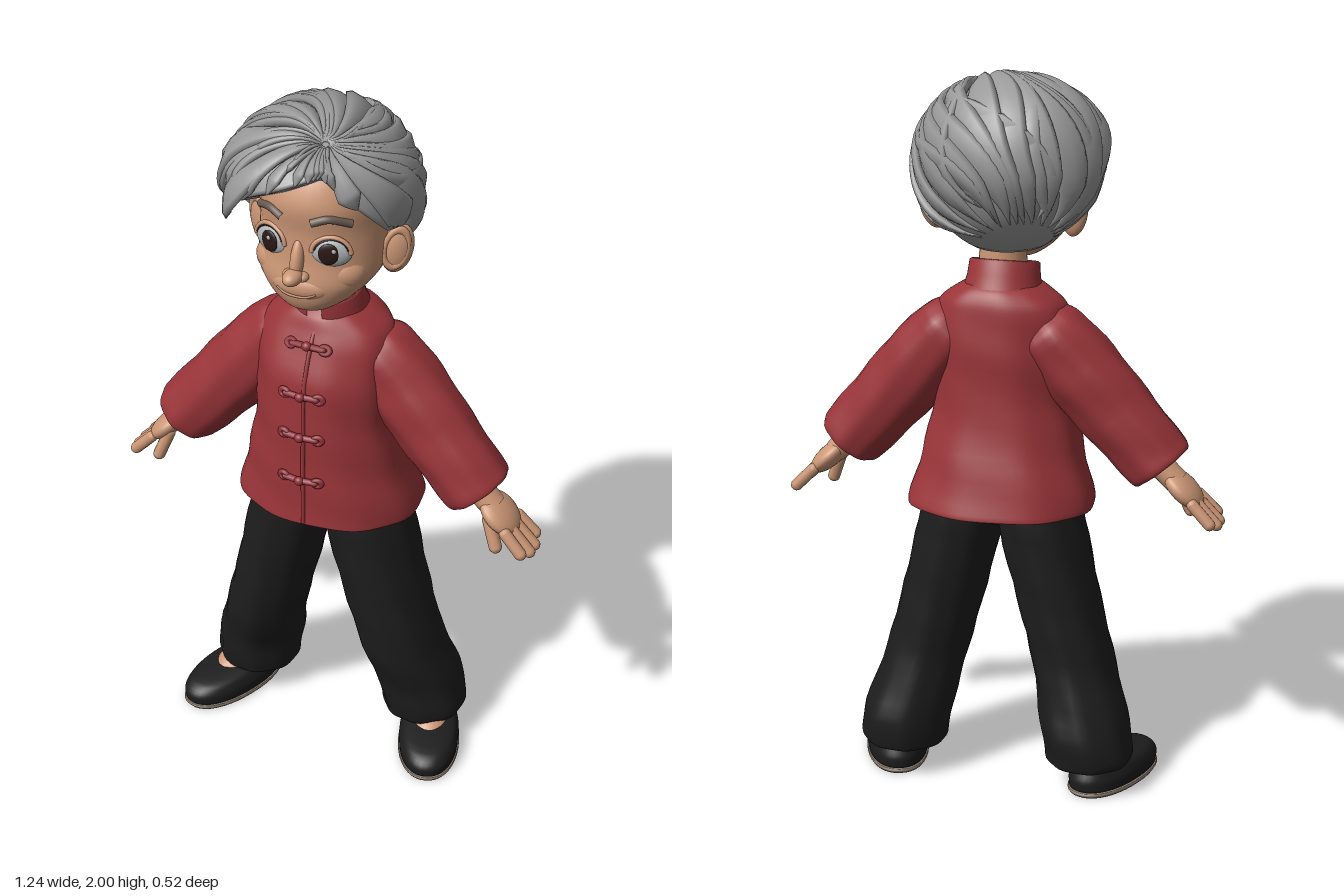
import * as THREE from 'three';

const mat = (name, color, side = THREE.FrontSide) => {
  const m = new THREE.MeshStandardMaterial({ color, side });
  m.name = name;
  return m;
};
const V = (x, y, z) => new THREE.Vector3(x, y, z);

// Closed skin over a stack of rings, capped at both ends
function skin(rings) {
  const n = rings[0].length, pos = [], idx = [];
  rings.forEach(r => r.forEach(p => pos.push(p.x, p.y, p.z)));
  for (let i = 0; i < rings.length - 1; i++) for (let j = 0; j < n; j++) {
    const a = i * n + j, b = i * n + (j + 1) % n;
    idx.push(a, a + n, b, b, a + n, b + n);
  }
  [0, rings.length - 1].forEach(i => {
    const c = rings[i].reduce((s, p) => s.add(p), V(0, 0, 0)).divideScalar(n);
    const k = pos.length / 3;
    pos.push(c.x, c.y, c.z);
    for (let j = 0; j < n; j++) {
      const a = i * n + j, b = i * n + (j + 1) % n;
      i === 0 ? idx.push(k, a, b) : idx.push(k, b, a);
    }
  });
  const g = new THREE.BufferGeometry();
  g.setAttribute('position', new THREE.Float32BufferAttribute(pos, 3));
  g.setIndex(idx);
  g.computeVertexNormals();
  return g;
}

// Horizontal sections [y, cx, cz, rx, rz], listed from top to bottom
function loft(secs, { n = 40, e = 2, fold = 0, sub = 4 } = {}) {
  const curve = f => new THREE.CatmullRomCurve3(secs.map(f), false, 'catmullrom', 0.4);
  const mid = curve(s => V(s[1], s[0], s[2])), rad = curve(s => V(s[3], s[4], 0));
  const rings = [], m = (secs.length - 1) * sub;
  const pw = v => Math.sign(v) * Math.abs(v) ** (2 / e);
  for (let i = 0; i <= m; i++) {
    const c = mid.getPoint(i / m), r = rad.getPoint(i / m), ring = [];
    for (let j = 0; j < n; j++) {
      const a = j / n * Math.PI * 2;
      const k = 1 + fold * Math.sin(5 * a + c.y * 23) * Math.sin(3 * a - c.y * 17);
      ring.push(V(c.x + r.x * k * pw(Math.sin(a)), c.y, c.z + r.y * k * pw(Math.cos(a))));
    }
    rings.push(ring);
  }
  return skin(rings);
}

// Hair surface: centre, radius by direction, and hairline by azimuth
const hairC = V(-0.015, 1.757, -0.008);
const hairline = [[-3.2, 2.75], [-1.9, 2.72], [-1.6, 1.85], [-1.2, 1.78], [-0.7, 1.48], [-0.3, 1.28], [0.1, 1.1],
  [0.4, 0.98], [0.8, 1.35], [1.2, 1.72], [1.6, 1.8], [1.9, 2.72], [3.2, 2.75]];
function maxPolar(a) {
  const i = Math.max(1, hairline.findIndex(k => k[0] >= a));
  const [p, q] = [hairline[i - 1], hairline[i]];
  return p[1] + (q[1] - p[1]) * (a - p[0]) / (q[0] - p[0]);
}
function hairR(d) {
  const t = Math.acos(d.y), quiff = Math.max(0, d.z - 0.25 * d.x);
  return 0.23 + 0.034 * quiff * Math.exp(-((t - 1.2) ** 2) / 0.25) - 0.012 * Math.max(0, d.y) ** 4
    + 0.012 * Math.max(0, -d.y) ** 3;
}
const dirOf = (a, t) => V(Math.sin(t) * Math.sin(a), Math.cos(t), Math.sin(t) * Math.cos(a));

function hairCap() {
  const rings = [], n = 96, m = 28;
  for (let i = 0; i <= m + 2; i++) {
    const ring = [];
    for (let j = 0; j < n; j++) {
      const a = -Math.PI + (j + 0.5) / n * Math.PI * 2;
      const d = dirOf(a, maxPolar(a) * Math.max(0.01, Math.min(1, i / m)));
      ring.push(d.clone().multiplyScalar(hairR(d) * [1, 0.9, 0.65][Math.max(0, i - m)]).add(hairC));
    }
    rings.push(ring);
  }
  return skin(rings);
}

// One tapered lock running from the parting outward over the cap
function hairLock(phi, twist, width, lift, cut, sway) {
  const w = dirOf(0.45, 0.6), e1 = V(1, 0, 0).addScaledVector(w, -w.x).normalize(), e2 = w.clone().cross(e1);
  const at = d => {
    const p = phi + twist * d + sway * Math.sin(d * 2.2);
    return w.clone().multiplyScalar(Math.cos(d))
      .addScaledVector(e1, Math.sin(d) * Math.cos(p)).addScaledVector(e2, Math.sin(d) * Math.sin(p));
  };
  let end = 0.1;
  for (; end < 2.72; end += 0.02) {
    const d = at(end);
    if (Math.acos(d.y) > maxPolar(Math.atan2(d.x, d.z))) break;
  }
  end *= cut;
  const rings = [], m = 24;
  for (let i = 0; i <= m; i++) {
    const u = i / m, D = 0.04 + u * (end - 0.04), N = at(D);
    const T = at(D + 0.01).sub(at(D - 0.01)).normalize(), S = N.clone().cross(T);
    const taper = Math.min(1, 4.5 * (1 - u) + 0.06);
    const hw = Math.max(0.008, width * Math.sin(D)) * taper, h = 0.017 * Math.min(1, 0.3 + u * 5) * taper;
    const c = N.clone().multiplyScalar(hairR(N) + lift * Math.sin(Math.PI * u)).add(hairC), ring = [];
    for (let j = 0; j < 8; j++) {
      const q = -j / 8 * Math.PI * 2;
      ring.push(c.clone().addScaledVector(S, Math.cos(q) * hw)
        .addScaledVector(N, Math.sin(q) * h + Math.cos(q) * h * 0.8));
    }
    rings.push(ring);
  }
  return skin(rings);
}

export function createModel() {
  const root = new THREE.Group();
  root.name = 'elderFigure';
  const skinM = mat('skin', 0xcc9776), hairM = mat('grey hair', 0x9a9a9a), red = mat('red cloth', 0x9a3539, THREE.DoubleSide);
  const trim = mat('dark red trim', 0x90323a), black = mat('black cloth', 0x1d1d1d), sole = mat('sole', 0x85776a);
  const white = mat('eye white', 0xb0b5b8), dark = mat('iris', 0x2a1815), brow = mat('brow', 0x6b5b52), lip = mat('lip', 0xa87257);
  const add = (name, geo, m, p = [0, 0, 0], r = [0, 0, 0], s = [1, 1, 1], parent = root) => {
    const o = new THREE.Mesh(geo, m);
    o.name = name;
    o.position.set(...p); o.rotation.set(...r); o.scale.set(...s);
    parent.add(o);
    return o;
  };
  const ball = new THREE.SphereGeometry(1, 24, 16);
  const tube = (pts, r) => new THREE.TubeGeometry(new THREE.CatmullRomCurve3(pts.map(p => V(...p))), 16, r, 8);

  // Head
  add('head', loft([[1.93, 0, -0.02, 0.05, 0.06], [1.88, 0, -0.01, 0.13, 0.165], [1.8, 0, -0.005, 0.166, 0.2],
    [1.72, 0, 0, 0.17, 0.187], [1.64, 0, 0.01, 0.172, 0.18], [1.58, 0, 0.045, 0.16, 0.155], [1.53, 0, 0.08, 0.118, 0.112],
    [1.497, 0, 0.1, 0.072, 0.075], [1.483, 0, 0.11, 0.035, 0.035]], { e: 2.2 }), skinM);
  add('neck', new THREE.CylinderGeometry(0.06, 0.075, 0.2, 24), skinM, [0, 1.47, -0.01]);
  add('noseBridge', ball, skinM, [0, 1.65, 0.19], [-0.25, 0, 0], [0.018, 0.06, 0.022]);
  add('noseTip', ball, skinM, [0, 1.613, 0.218], [0, 0, 0], [0.025, 0.021, 0.035]);
  add('muzzle', ball, skinM, [0, 1.57, 0.165], [0, 0, 0], [0.085, 0.042, 0.042]);
  add('chin', ball, skinM, [0, 1.52, 0.155], [0, 0, 0], [0.05, 0.03, 0.03]);
  add('mouth', tube([[-0.055, 1.562, 0.195], [-0.03, 1.552, 0.202], [0, 1.549, 0.203], [0.03, 1.552, 0.202], [0.055, 1.562, 0.195]], 0.0035), lip);
  for (const s of [1, -1]) {
    add('cheek', ball, skinM, [s * 0.095, 1.605, 0.118], [0, s * 0.5, 0], [0.062, 0.05, 0.048]);
    add('nostril', ball, skinM, [s * 0.021, 1.61, 0.2], [0, 0, 0], [0.015, 0.013, 0.018]);
    const eye = new THREE.Group();
    eye.name = 'eye';
    eye.position.set(s * 0.083, 1.68, 0.161);
    eye.rotation.y = s * 0.32;
    root.add(eye);
    add('eyeWhite', ball, white, [0, 0, 0], [0, 0, 0], [0.054, 0.042, 0.022], eye);
    add('iris', ball, dark, [-s * 0.006, 0, 0.018], [0, 0, 0], [0.027, 0.03, 0.007], eye);
    add('glint', ball, white, [0.008, 0.012, 0.024], [0, 0, 0], [0.006, 0.006, 0.003], eye);
    add('upperLid', new THREE.TorusGeometry(0.05, 0.007, 8, 20, Math.PI), skinM, [0, 0, 0.008], [0, 0, 0], [1, 0.88, 1], eye);
    add('lashLine', new THREE.TorusGeometry(0.045, 0.003, 6, 20, 2.7), dark, [0, 0, 0.012], [0, 0, 0.22], [1, 0.86, 1], eye);
    add('eyebrow', tube([[s * 0.04, 1.765, 0.193], [s * 0.08, 1.777, 0.177], [s * 0.128, 1.758, 0.137]], 0.011), brow);
    add('ear', ball, skinM, [s * 0.195, 1.637, 0.002], [0, s * 0.5, -s * 0.2], [0.042, 0.072, 0.024]);
    add('earRim', new THREE.TorusGeometry(0.034, 0.008, 8, 20), skinM, [s * 0.197, 1.643, 0.016], [0, s * 0.5, -s * 0.2], [0.9, 1.6, 1]);
  }

  // Hair: cap, two layers of swept locks, and a raised quiff
  const hair = new THREE.Group();
  hair.name = 'hair';
  root.add(hair);
  const lock = (name, ...args) => add(name, hairLock(...args), hairM, [0, 0, 0], [0, 0, 0], [1, 1, 1], hair);
  add('hairCap', hairCap(), hairM, [0, 0, 0], [0, 0, 0], [1, 1, 1], hair);
  const N = 26;
  for (let i = 0; i < N; i++) {
    const p = i / N * Math.PI * 2, wob = Math.sin(i * 12.9) * 0.5 + 0.5;
    lock('lock', p, 0.4, 0.04 + 0.012 * wob, 0.002 + 0.008 * wob, 1, 0.2 * Math.sin(i * 5.3));
    if (i % 2) lock('overLock', p + 0.1, 0.5, 0.032, 0.01, 0.65 + 0.35 * wob, 0.4 * Math.sin(i * 7.7));
  }
  for (let i = 0; i < 5; i++) lock('quiffLock', Math.PI - 0.75 + i * 0.32, 0.25, 0.055, 0.014, 1, 0.3 * (i % 2));

  // Jacket
  add('jacket', loft([[1.45, 0, -0.01, 0.07, 0.075], [1.425, 0, -0.012, 0.12, 0.105], [1.39, 0, -0.012, 0.168, 0.122],
    [1.34, 0, -0.003, 0.186, 0.14], [1.25, 0, 0.01, 0.19, 0.16], [1.1, 0, 0.012, 0.193, 0.166], [0.95, 0, -0.004, 0.226, 0.184],
    [0.83, 0, -0.02, 0.26, 0.203], [0.814, 0, -0.02, 0.253, 0.198], [0.83, 0, -0.02, 0.2, 0.16]], { n: 64, e: 2.2, fold: 0.026 }), red);
  const collar = new THREE.LatheGeometry([[0.108, 0], [0.098, 0.04], [0.094, 0.078], [0.088, 0.082], [0.083, 0.075], [0.085, 0]]
    .map(p => new THREE.Vector2(...p)), 40, 0.22, Math.PI * 2 - 0.44);
  add('collar', collar, red, [0, 1.41, -0.008], [0.22, 0, 0], [1.02, 1, 0.98]);
  add('placket', tube([[0.006, 1.4, 0.098], [0.006, 1.35, 0.133], [0.006, 1.25, 0.17], [0.006, 1.1, 0.178], [0.006, 0.95, 0.181], [0.006, 0.82, 0.182]], 0.006), red);
  // Knotted fastenings
  for (const [y, z, tilt] of [[1.36, 0.134, -0.5], [1.228, 0.176, -0.1], [1.102, 0.181, 0], [0.965, 0.185, 0.08]]) {
    const knot = new THREE.Group();
    knot.name = 'fastening';
    knot.position.set(0, y, z);
    knot.rotation.x = tilt;
    root.add(knot);
    add('knotBall', ball, trim, [0, 0, 0.008], [0, 0, 0], [0.014, 0.013, 0.012], knot);
    for (const s of [1, -1]) {
      add('knotBar', new THREE.CapsuleGeometry(0.009, 0.035, 4, 8), trim, [s * 0.028, 0, 0.002], [0, s * 0.12, Math.PI / 2], [1, 1, 1], knot);
      add('knotLoop', new THREE.TorusGeometry(0.01, 0.007, 8, 14), trim, [s * 0.05, 0, -0.002], [0, s * 0.2, 0], [1.2, 1, 1], knot);
    }
  }

  for (const s of [1, -1]) {
    // Sleeve
    add('sleeve', loft([[0.07, 0, -0.02, 0.03, 0.04], [0.045, 0, -0.022, 0.072, 0.078], [0, 0, -0.025, 0.098, 0.105],
      [-0.13, s * 0.003, -0.02, 0.11, 0.107], [-0.28, s * 0.008, -0.012, 0.105, 0.101], [-0.42, s * 0.014, -0.006, 0.098, 0.099],
      [-0.458, s * 0.016, -0.006, 0.096, 0.096], [-0.468, s * 0.016, -0.006, 0.086, 0.087], [-0.44, s * 0.016, -0.006, 0.055, 0.06]],
    { fold: 0.04, n: 48 }), red, [s * 0.14, 1.3, 0], [0, 0, s * 0.685]);
    // Hand
    const hand = new THREE.Group();
    hand.name = 'hand';
    hand.position.set(s * 0.447, 0.947, -0.006);
    hand.rotation.z = s * 0.83;
    root.add(hand);
    add('wrist', new THREE.CylinderGeometry(0.044, 0.042, 0.1, 16), skinM, [0, -0.01, 0], [0, 0, 0], [0.8, 1, 1], hand);
    add('palm', ball, skinM, [0, -0.085, 0], [0, 0, 0], [0.031, 0.07, 0.066], hand);
    for (let i = 0; i < 4; i++) {
      const k = i - 1.5;
      add('finger', new THREE.CapsuleGeometry(0.0168, 0.085 - 0.01 * Math.abs(k), 5, 10), skinM,
        [0, -0.178 + 0.006 * k * k, -k * 0.035], [k * 0.06, 0, -s * 0.05], [1, 1, 1], hand);
    }
    add('thumb', new THREE.CapsuleGeometry(0.018, 0.08, 5, 10), skinM, [-s * 0.034, -0.11, 0.045], [-0.2, 0, -s * 0.45], [1, 1, 1], hand);

    // Trouser leg
    add('trouserLeg', loft([[0.88, s * 0.1, -0.02, 0.11, 0.14], [0.75, s * 0.118, -0.02, 0.12, 0.146], [0.55, s * 0.165, -0.023, 0.117, 0.143],
      [0.35, s * 0.217, -0.035, 0.115, 0.14], [0.2, s * 0.257, -0.075, 0.123, 0.138], [0.115, s * 0.272, -0.08, 0.123, 0.13],
      [0.088, s * 0.27, -0.08, 0.112, 0.12], [0.105, s * 0.275, -0.08, 0.07, 0.08]], { fold: 0.035, n: 48 }), black);

    // Shoe and foot
    const foot = new THREE.Group();
    foot.name = 'foot';
    foot.position.set(s * 0.324, 0, 0);
    foot.rotation.y = s * 0.36;
    root.add(foot);
    add('ankle', new THREE.CylinderGeometry(0.045, 0.052, 0.16, 16), skinM, [0, 0.12, -0.07], [0, 0, 0], [1, 1, 1], foot);
    add('instep', ball, skinM, [0, 0.073, -0.015], [0.3, 0, 0], [0.054, 0.04, 0.085], foot);
    add('shoeUpper', loft([[0.092, 0, -0.09, 0.035, 0.05], [0.088, 0, -0.07, 0.057, 0.085], [0.072, 0, -0.012, 0.077, 0.15],
      [0.045, 0, 0, 0.087, 0.174], [0.016, 0, 0, 0.086, 0.173]], { e: 2.2 }), black, [0, 0, 0], [0, 0, 0], [1, 1, 1], foot);
    add('shoeSole', loft([[0.014, 0, 0, 0.088, 0.175], [0.008, 0, 0, 0.09, 0.178], [0, 0, 0, 0.086, 0.172]], { e: 2.2 }), sole, [0, 0, 0], [0, 0, 0], [1, 1, 1], foot);
  }
  add('trouserSeat', loft([[0.95, 0, -0.02, 0.18, 0.13], [0.84, 0, -0.02, 0.2, 0.14], [0.79, 0, -0.02, 0.1, 0.115], [0.765, 0, -0.02, 0.03, 0.08]]), black);
  return root;
}
